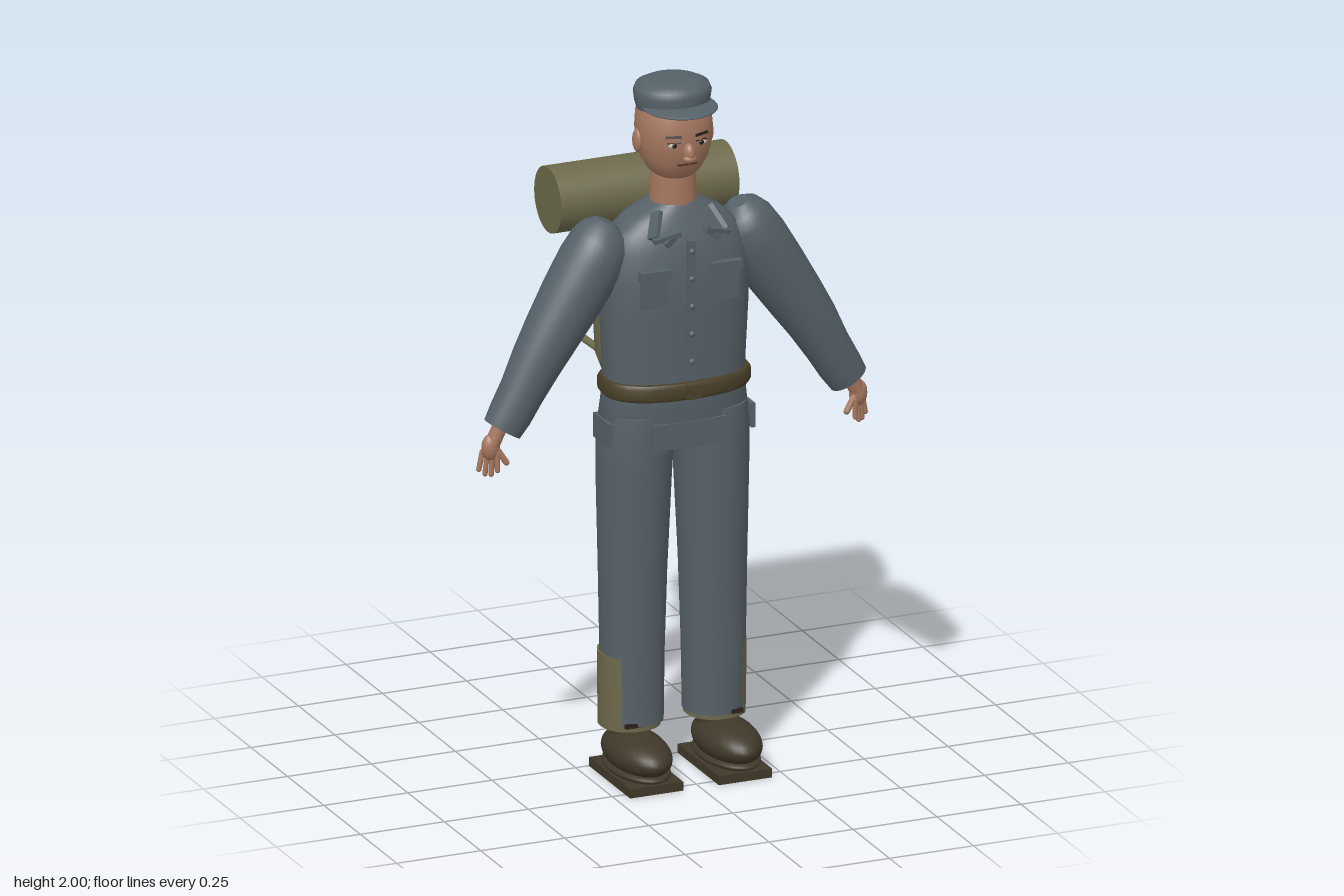
import * as THREE from 'three';

const mat = (name, color) => Object.assign(new THREE.MeshStandardMaterial({ color }), { name });

// Loft through rings listed bottom to top: [y, halfX, zCentre, halfZ, xCentre, tilt]
// n is the roundness (2 = ellipse), s = -1 mirrors in x.
function loft(rows, n = 2, s = 1, seg = 36) {
  const pos = [], idx = [];
  const ring = ([y, hx, zc, hz, xc = 0, tilt = 0], k = 1) => {
    for (let j = 0; j < seg; j++) {
      const t = (j / seg) * Math.PI * 2, c = Math.cos(t), d = Math.sin(t);
      const u = Math.sign(c) * Math.abs(c) ** (2 / n) * hx * k;
      const w = Math.sign(d) * Math.abs(d) ** (2 / n) * hz * k;
      pos.push(s * (xc + u * Math.cos(tilt)), y + u * Math.sin(tilt), zc + w);
    }
  };
  const strip = (list) => {
    const base = pos.length / 3;
    list.forEach(([r, k]) => ring(r, k));
    for (let i = 0; i < list.length - 1; i++) for (let j = 0; j < seg; j++) {
      const a = base + i * seg + j, b = base + i * seg + (j + 1) % seg, c = a + seg, d = b + seg;
      if (s > 0) idx.push(a, c, b, b, c, d);
      else idx.push(a, b, c, b, d, c);
    }
  };
  const first = rows[0], last = rows[rows.length - 1];
  strip([[first, 0.001], [first, 1]]);
  strip(rows.map((r) => [r, 1]));
  strip([[last, 1], [last, 0.001]]);
  const g = new THREE.BufferGeometry();
  g.setAttribute('position', new THREE.Float32BufferAttribute(pos, 3));
  g.setIndex(idx);
  g.computeVertexNormals();
  return g;
}

export function createModel() {
  const root = new THREE.Group();
  const cloth = mat('greyCloth', 0x566168), canvas = mat('oliveCanvas', 0x6c694b);
  const skin = mat('skin', 0xa5775f), boot = mat('bootLeather', 0x40382a);
  const leather = mat('beltLeather', 0x4a4029), dark = mat('darkHair', 0x2a211d);
  const white = mat('eyeWhite', 0xc8bfb4), lip = mat('lips', 0x824f44);

  const add = (name, geo, m, p = [0, 0, 0]) => {
    const mesh = new THREE.Mesh(geo, m);
    mesh.name = name;
    mesh.position.set(...p);
    root.add(mesh);
    return mesh;
  };
  const box = (name, m, size, p) => add(name, new THREE.BoxGeometry(...size), m, p);
  const ball = (name, m, r, p) => add(name, new THREE.SphereGeometry(1, 28, 18).scale(...r), m, p);
  // Bar between two points, its local y along the bar
  const bar = (name, m, a, b, geo) => {
    const A = new THREE.Vector3(...a), B = new THREE.Vector3(...b), d = B.clone().sub(A);
    const mesh = add(name, geo(d.length()), m, A.clone().add(B).multiplyScalar(0.5).toArray());
    mesh.quaternion.setFromUnitVectors(new THREE.Vector3(0, 1, 0), d.normalize());
    return mesh;
  };
  const rod = (r) => (l) => new THREE.CapsuleGeometry(r, l, 4, 10);
  const slat = (w, t) => (l) => new THREE.BoxGeometry(w, l, t);

  // Jacket, hips and belt
  add('jacket', loft([[1.09, 0.2, 0.095, 0.116], [1.2, 0.204, 0.095, 0.118], [1.35, 0.212, 0.095, 0.121],
    [1.45, 0.213, 0.094, 0.121], [1.53, 0.204, 0.09, 0.113], [1.58, 0.182, 0.087, 0.1],
    [1.615, 0.14, 0.085, 0.087], [1.64, 0.09, 0.085, 0.077], [1.655, 0.065, 0.085, 0.068]], 2.4), cloth);
  add('hips', loft([[0.975, 0.1, 0.088, 0.098], [0.995, 0.185, 0.088, 0.11], [1.04, 0.213, 0.09, 0.118],
    [1.12, 0.203, 0.093, 0.117]], 2.4), cloth);
  box('flyPanel', cloth, [0.22, 0.075, 0.012], [0, 1.005, 0.204]);
  add('belt', loft([[1.112, 0.209, 0.098, 0.128], [1.122, 0.216, 0.098, 0.134], [1.15, 0.216, 0.098, 0.134],
    [1.16, 0.209, 0.098, 0.128]], 2.4), leather);
  box('buckle', leather, [0.045, 0.04, 0.014], [0, 1.136, 0.234]);

  // Placket and buttons
  box('placket', cloth, [0.024, 0.39, 0.012], [0, 1.375, 0.216]);
  for (let i = 0; i < 5; i++) ball('button', cloth, [0.009, 0.009, 0.006], [0, 1.22 + i * 0.08, 0.224]);

  // Neck and head
  add('neck', new THREE.CylinderGeometry(0.062, 0.066, 0.13, 28), skin, [0, 1.69, 0.09]);
  add('head', loft([[1.724, 0.035, 0.09, 0.045], [1.732, 0.056, 0.092, 0.064], [1.75, 0.074, 0.094, 0.079],
    [1.785, 0.093, 0.096, 0.094], [1.83, 0.104, 0.096, 0.104], [1.87, 0.107, 0.094, 0.105],
    [1.91, 0.104, 0.092, 0.101], [1.95, 0.09, 0.09, 0.088]], 2.1), skin);
  ball('nose', skin, [0.017, 0.03, 0.022], [0, 1.818, 0.2]);
  ball('noseTip', skin, [0.02, 0.013, 0.016], [0, 1.805, 0.207]);
  box('mouth', lip, [0.05, 0.008, 0.008], [0, 1.782, 0.188]);
  box('mouthLine', dark, [0.056, 0.003, 0.009], [0, 1.784, 0.188]);

  // Cap
  add('cap', loft([[1.922, 0.1, 0.086, 0.098], [1.94, 0.105, 0.086, 0.101], [1.968, 0.109, 0.086, 0.104],
    [1.985, 0.102, 0.086, 0.098], [1.996, 0.08, 0.086, 0.076], [2.0, 0.045, 0.086, 0.045]]), cloth);
  ball('capBrim', cloth, [0.104, 0.012, 0.112], [0, 1.935, 0.137]);

  // Pack and bedroll
  add('backpack', loft([[1.07, 0.05, -0.1, 0.045], [1.076, 0.09, -0.1, 0.068], [1.1, 0.122, -0.1, 0.088],
    [1.15, 0.141, -0.1, 0.098], [1.28, 0.148, -0.1, 0.101], [1.42, 0.143, -0.1, 0.099],
    [1.47, 0.128, -0.1, 0.09], [1.492, 0.1, -0.1, 0.074], [1.5, 0.07, -0.1, 0.055]], 2.3), canvas);
  add('bedroll', new THREE.CylinderGeometry(0.094, 0.094, 0.53, 40).rotateZ(Math.PI / 2), canvas, [0, 1.602, -0.157]);

  for (const s of [1, -1]) {
    // Sleeve
    add('sleeve', loft([[1.06, 0.057, 0.105, 0.049, 0.515, 0.55], [1.1, 0.062, 0.104, 0.056, 0.49, 0.55],
      [1.16, 0.065, 0.102, 0.059, 0.455, 0.56], [1.24, 0.074, 0.099, 0.068, 0.41, 0.57],
      [1.315, 0.082, 0.094, 0.076, 0.362, 0.57], [1.41, 0.09, 0.089, 0.086, 0.3, 0.55],
      [1.5, 0.093, 0.086, 0.091, 0.243, 0.52], [1.555, 0.085, 0.085, 0.086, 0.212, 0.5],
      [1.59, 0.064, 0.085, 0.066, 0.198, 0.48], [1.612, 0.03, 0.085, 0.034, 0.195, 0.45]], 2, s), cloth);

    // Hand
    bar('wrist', skin, [s * 0.52, 1.07, 0.104], [s * 0.542, 1.02, 0.101], rod(0.022));
    ball('palm', skin, [0.026, 0.038, 0.022], [s * 0.547, 1.01, 0.1]);
    for (let i = 0; i < 4; i++) {
      const k = i - 1.5;
      bar('finger', skin, [s * (0.549 + k * 0.011), 0.995, 0.099 - k * 0.009],
        [s * (0.554 + k * 0.014), 0.931 + (k * k) * 0.006, 0.099 - k * 0.01], rod(0.0075));
    }
    bar('thumb', skin, [s * 0.535, 1.01, 0.108], [s * 0.507, 0.965, 0.115], rod(0.009));

    // Trouser leg, hip flap and gaiter
    add('trouserLeg', loft([[0.158, 0.084, 0.089, 0.084, 0.12], [0.36, 0.088, 0.088, 0.087, 0.121],
      [0.6, 0.093, 0.087, 0.096, 0.119], [0.88, 0.101, 0.086, 0.111, 0.115],
      [1.0, 0.104, 0.088, 0.114, 0.111], [1.06, 0.098, 0.09, 0.11, 0.108]], 2.2, s), cloth);
    box('hipFlap', cloth, [0.012, 0.07, 0.11], [s * 0.212, 1.01, 0.1]);
    add('gaiter', loft([[0.143, 0.084, 0.081, 0.086, 0.127], [0.25, 0.085, 0.082, 0.088, 0.127],
      [0.357, 0.085, 0.082, 0.089, 0.128]], 2.2, s), canvas);
    box('gaiterStrap', dark, [0.05, 0.012, 0.009], [s * 0.15, 0.163, 0.167]);

    // Boot
    add('ankle', new THREE.CylinderGeometry(0.052, 0.06, 0.09, 24), boot, [s * 0.13, 0.135, 0.095]);
    ball('boot', boot, [0.083, 0.058, 0.157], [s * 0.134, 0.082, 0.151]);
    ball('bootWelt', boot, [0.081, 0.022, 0.15], [s * 0.134, 0.04, 0.148]);
    box('sole', boot, [0.158, 0.026, 0.283], [s * 0.132, 0.013, 0.142]);

    // Collar flap
    bar('collarSide', cloth, [s * 0.08, 1.648, 0.165], [s * 0.109, 1.588, 0.207], slat(0.034, 0.014));
    bar('collarPoint', cloth, [s * 0.112, 1.583, 0.212], [s * 0.036, 1.602, 0.224], slat(0.014, 0.026));
    bar('collarEdge', cloth, [s * 0.04, 1.604, 0.222], [s * 0.08, 1.57, 0.228], slat(0.02, 0.012));

    // Chest pocket
    box('pocket', cloth, [0.076, 0.1, 0.016], [s * 0.106, 1.435, 0.207]);
    box('pocketFlap', cloth, [0.09, 0.026, 0.022], [s * 0.106, 1.482, 0.211]);

    // Face details and ear
    ball('eye', white, [0.017, 0.007, 0.004], [s * 0.04, 1.843, 0.191]);
    ball('pupil', dark, [0.008, 0.007, 0.004], [s * 0.04, 1.843, 0.193]);
    bar('eyelid', dark, [s * 0.022, 1.85, 0.195], [s * 0.058, 1.849, 0.184], slat(0.004, 0.006));
    bar('eyebrow', dark, [s * 0.02, 1.866, 0.197], [s * 0.062, 1.867, 0.183], slat(0.008, 0.008));
    ball('ear', skin, [0.012, 0.034, 0.022], [s * 0.106, 1.835, 0.09]);

    // Pack strap, standing away from the pack
    const path = [[0.1, 1.465, -0.17], [0.136, 1.365, -0.297], [0.136, 1.16, -0.289], [0.1, 1.135, -0.16]];
    for (let i = 0; i < 3; i++) {
      const [a, b] = [path[i], path[i + 1]].map(([x, y, z]) => [s * x, y, z]);
      bar('packStrap', canvas, a, b, (l) => new THREE.CapsuleGeometry(0.011, l, 3, 8).scale(1.3, 1, 0.9));
    }
  }
  return root;
}
